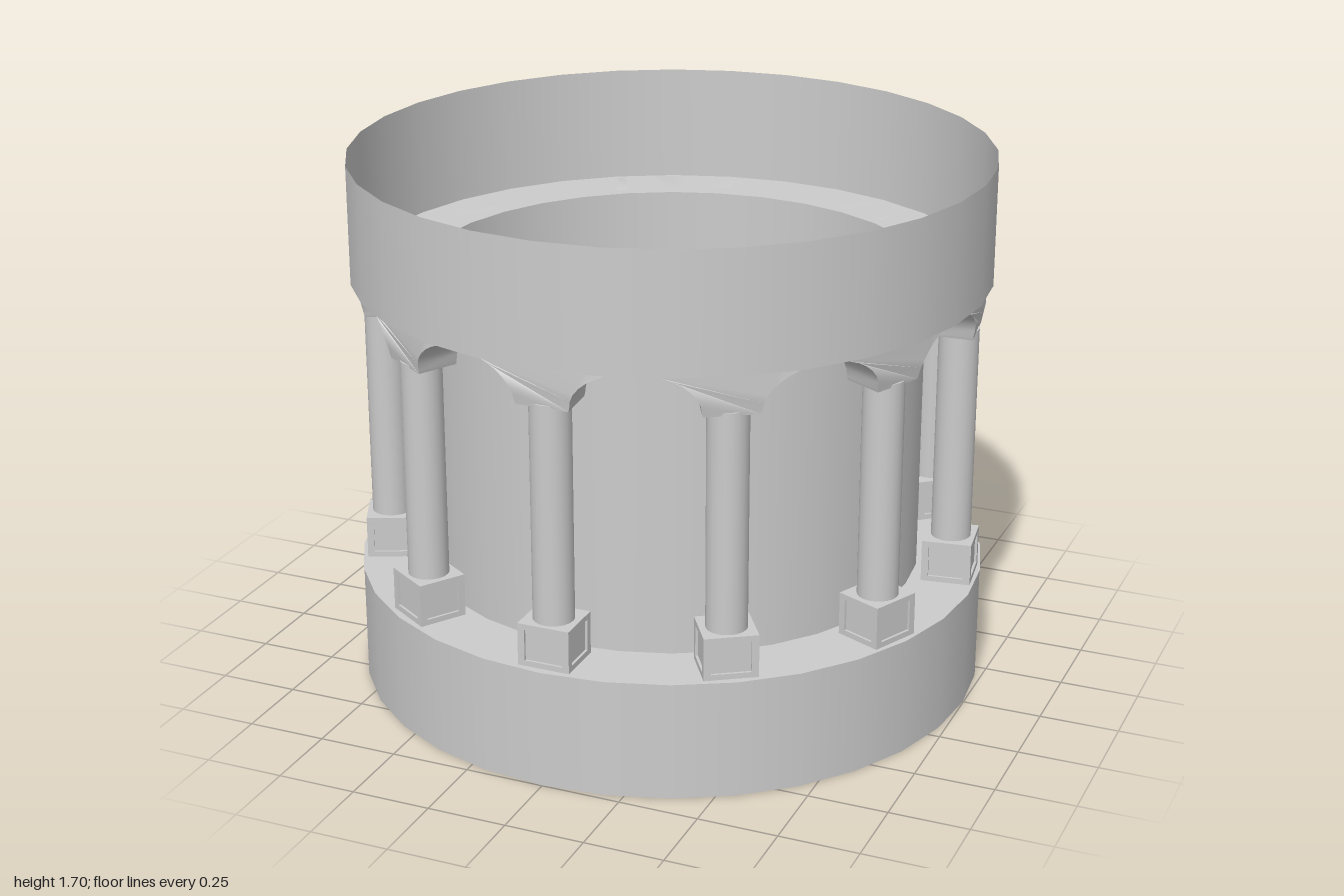
import * as THREE from 'three';
import { mergeGeometries, toCreasedNormals } from 'three/addons/utils/BufferGeometryUtils.js';

const SIDES = 32, COLUMNS = 11;
const DRUM_R = 0.795, COLUMN_R = 0.905;
const LOW = 0.375, HIGH = 1.325, TOP = 1.7;

const solid = new THREE.MeshStandardMaterial({ color: 0xcccccc });
const sheet = new THREE.MeshStandardMaterial({ color: 0xcccccc, side: THREE.DoubleSide });

function part(name, geometry, material = solid) {
  const mesh = new THREE.Mesh(geometry, material);
  mesh.name = name;
  return mesh;
}

// Open cylinder wall between two heights
function wall(name, radius, y0, y1) {
  const g = new THREE.CylinderGeometry(radius, radius, y1 - y0, SIDES, 1, true);
  return part(name, g.translate(0, (y0 + y1) / 2, 0), sheet);
}

// Flat ring joining the drum to an outer band
function ledge(name, y) {
  const g = new THREE.RingGeometry(DRUM_R, 1, SIDES, 1);
  return part(name, g.rotateX(-Math.PI / 2).translate(0, y, 0), sheet);
}

// Plinth block: a core with a raised frame round a sunken panel on each side
function plinthGeometry() {
  const w = 0.165, d = 0.155, h = 0.135, t = 0.008, rim = 0.022;
  const pieces = [new THREE.BoxGeometry(w - 2 * t, h, d - 2 * t).toNonIndexed()];
  for (let i = 0; i < 4; i++) {
    const width = i % 2 ? d : w, reach = (i % 2 ? w : d) / 2;
    const a = width / 2, b = h / 2;
    const shape = new THREE.Shape().moveTo(-a, -b).lineTo(a, -b).lineTo(a, b).lineTo(-a, b);
    const p = a - rim, q = b - rim * 0.8;
    shape.holes.push(new THREE.Path().moveTo(-p, -q).lineTo(-p, q).lineTo(p, q).lineTo(p, -q));
    const frame = new THREE.ExtrudeGeometry(shape, { depth: t, bevelEnabled: false });
    pieces.push(frame.translate(0, 0, reach - t).rotateY(i * Math.PI / 2));
  }
  return mergeGeometries(pieces).translate(0, LOW + h / 2, COLUMN_R);
}

// Flared arch springer: two quarter-arches either side of a foot, bent round the drum
function springerGeometry() {
  const foot = 0.078, reach = 0.256, y0 = 1.19, steps = 8;
  const right = [[foot, y0]];
  for (let i = 0; i <= steps; i++) {
    const a = (i / steps) * Math.PI / 2;
    right.push([reach - (reach - foot - 0.003) * Math.cos(a), 1.2 + (HIGH - 0.002 - 1.2) * Math.sin(a)]);
  }
  const top = [];
  for (let i = 0; i <= steps; i++) top.push([reach - (2 * reach * i) / steps, HIGH]);
  const left = right.map(([x, y]) => [-x, y]).reverse();
  const shape = new THREE.Shape([...right, ...top, ...left].map(([x, y]) => new THREE.Vector2(x, y)));
  const g = new THREE.ExtrudeGeometry(shape, { depth: 0.145, bevelEnabled: false });
  const p = g.attributes.position;
  for (let i = 0; i < p.count; i++) {
    const angle = p.getX(i) / COLUMN_R;
    const lean = 0.012 * Math.max(0, (1.25 - p.getY(i)) / 0.06);
    const r = 0.83 + p.getZ(i) * (1 - lean / 0.145);
    p.setXYZ(i, r * Math.sin(angle), p.getY(i), r * Math.cos(angle));
  }
  return toCreasedNormals(g, 0.6);
}

export function createModel() {
  const model = new THREE.Group();
  model.name = 'roundArcade';

  // Drum, bands and ledges
  model.add(
    wall('innerDrum', DRUM_R, LOW, HIGH),
    wall('lowerBand', 0.998, 0, LOW),
    wall('upperBand', 1, HIGH, TOP),
    ledge('lowerLedge', LOW),
    ledge('upperLedge', HIGH)
  );

  // Ring of columns
  const plinth = plinthGeometry();
  const springer = springerGeometry();
  const shaft = new THREE.CylinderGeometry(0.063, 0.063, 0.7, 20).translate(0, 0.85, COLUMN_R);
  const arcade = new THREE.Group();
  arcade.name = 'arcade';
  for (let i = 0; i < COLUMNS; i++) {
    const column = new THREE.Group();
    column.name = 'column';
    column.add(part('plinth', plinth), part('shaft', shaft), part('archSpringer', springer));
    column.rotation.y = (i / COLUMNS) * Math.PI * 2;
    arcade.add(column);
  }
  arcade.position.z = -0.008;
  model.add(arcade);
  return model;
}
